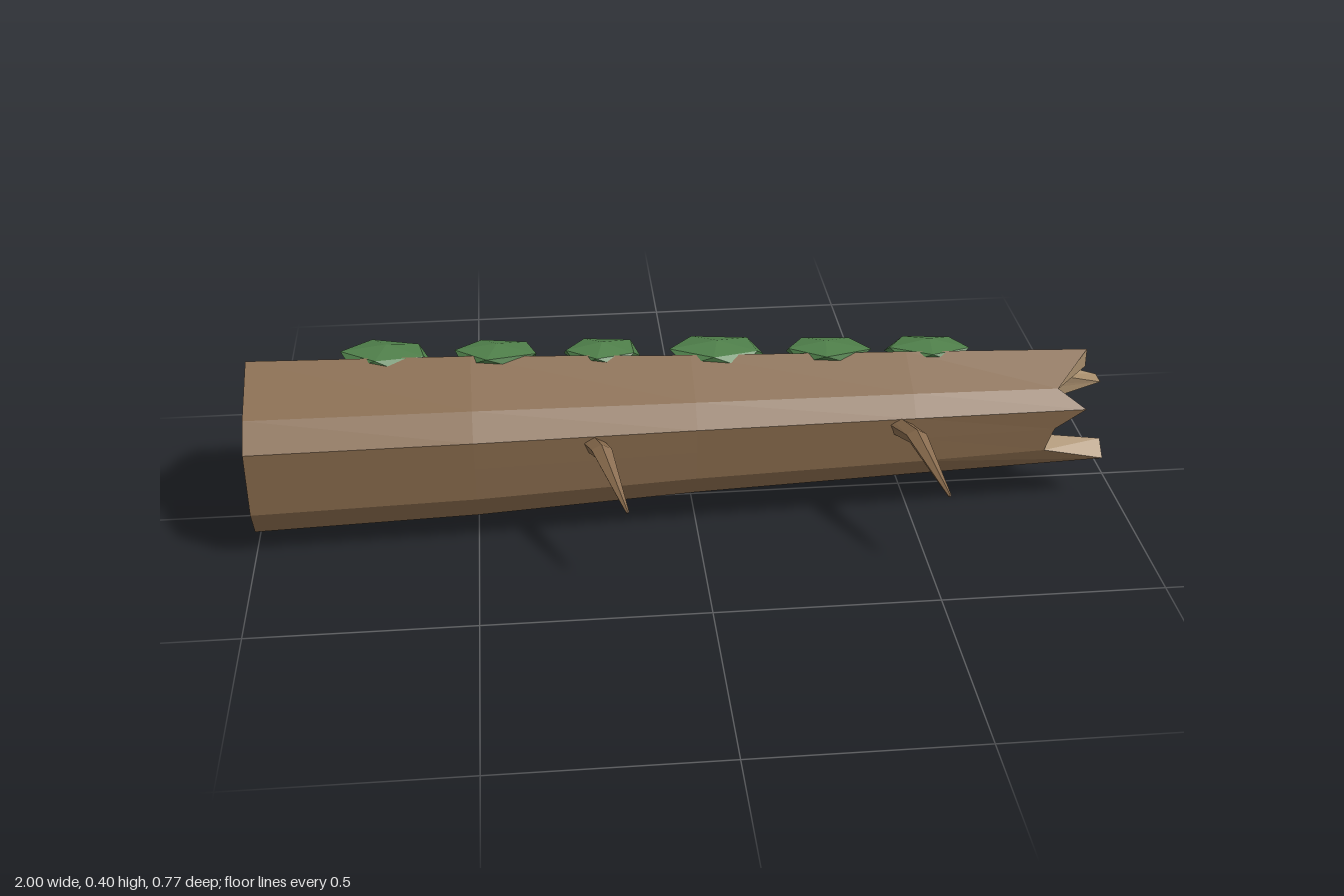
import * as THREE from 'three';

const bark = new THREE.MeshStandardMaterial({ color: 0x86694b, flatShading: true });
const wood = new THREE.MeshStandardMaterial({ color: 0xa78d6c, flatShading: true });
const leaf = new THREE.MeshStandardMaterial({ color: 0x4f7f4a, flatShading: true });

// Flat-shaded skin across a list of closed rings of points
function loft(rings, flip = false) {
  const out = [];
  const tri = (a, b, c) => (flip ? [a, c, b] : [a, b, c]).forEach(p => out.push(p.x, p.y, p.z));
  for (let i = 0; i < rings.length - 1; i++) {
    const a = rings[i], b = rings[i + 1], n = a.length;
    for (let j = 0; j < n; j++) {
      const k = (j + 1) % n;
      tri(a[j], a[k], b[k]);
      tri(a[j], b[k], b[j]);
    }
  }
  const g = new THREE.BufferGeometry();
  g.setAttribute('position', new THREE.Float32BufferAttribute(out, 3));
  g.computeVertexNormals();
  return g;
}

function add(group, name, geometry, material) {
  const mesh = new THREE.Mesh(geometry, material);
  mesh.name = name;
  group.add(mesh);
  return mesh;
}

// Trunk section at the wide end, as [z, y] around the axis
const SECTION = [[0, 0.201], [0.145, 0.128], [0.2, 0.071], [0.198, 0], [0.195, -0.084], [0.157, -0.15],
  [0, -0.201], [-0.15, -0.153], [-0.183, -0.084], [-0.19, 0], [-0.2, 0.071], [-0.14, 0.128]];
// How far each corner reaches at the splintered end
const SPLINTERS = [0.93, 0.84, 0.9, 0.83, 0.81, 0.96, 0.84, 0.87, 0.88, 1, 0.84, 0.87];
// Stations along the trunk: [x, scale, axis height]
const STATIONS = [[-1, 1, 0.204], [-0.5, 0.94, 0.205], [0, 0.82, 0.207], [0.5, 0.74, 0.208], [0.9, 0.67, 0.208]];
const WALL = 0.045;

function trunkRings(inner) {
  return STATIONS.map(([x, s, y], i) => SECTION.map(([pz, py], j) => {
    const k = inner ? s - WALL / 0.2 : s;
    return new THREE.Vector3(i === STATIONS.length - 1 ? SPLINTERS[j] : x, y + py * k, pz * k);
  }));
}

// Tapered, bent twig rooted on the trunk axis; side is +1 (front) or -1 (back)
function twig(x, side) {
  const path = [[0, 0.21, 0.03, 0.03], [0.22, 0.255, 0.024, 0.018], [0.38, 0.194, 0.004, 0.004], [0.383, 0.193, 0, 0]];
  const rings = path.map(([z, y, rx, ry]) => Array.from({ length: 5 }, (_, j) => {
    const a = Math.PI / 2 + j * Math.PI * 2 / 5;
    return new THREE.Vector3(x + z * 0.28 + rx * Math.cos(a), y + ry * Math.sin(a), side * z);
  }));
  return loft(rings, side < 0);
}

// Flattened, uneven clump
function clump(seed, rx, rz) {
  const g = new THREE.IcosahedronGeometry(1, 0);
  g.rotateZ(0.55);
  g.rotateY(seed * 1.3);
  const p = g.attributes.position;
  const v = new THREE.Vector3();
  for (let i = 0; i < p.count; i++) {
    v.fromBufferAttribute(p, i);
    const k = 1 + 0.1 * Math.sin(v.x * 5 + v.y * 7 + v.z * 9 + seed * 2);
    p.setXYZ(i, v.x * k * rx, v.y * k * 0.026, v.z * k * rz);
  }
  g.computeVertexNormals();
  return g;
}

export function createModel() {
  const log = new THREE.Group();
  log.name = 'hollowLog';

  // Hollow trunk with rims at both ends
  const outer = trunkRings(false), inner = trunkRings(true), last = STATIONS.length - 1;
  add(log, 'bark', loft(outer), bark);
  add(log, 'hollow', loft(inner, true), wood);
  add(log, 'cutRim', loft([outer[0], inner[0]], true), wood);
  add(log, 'splinteredRim', loft([outer[last], inner[last]]), wood);

  // Twigs on both sides
  [[-0.28, 1], [0.425, 1], [-0.63, -1], [0.07, -1]].forEach(([x, side], i) =>
    add(log, 'twig' + (i + 1), twig(x, side), bark));

  // Row of moss along the top: [x, y, half length]
  [[-0.69, 0.381, 0.107], [-0.44, 0.375, 0.11], [-0.2, 0.364, 0.1],
    [0.065, 0.355, 0.115], [0.32, 0.346, 0.113], [0.565, 0.337, 0.11]].forEach(([x, y, r], i) => {
    const moss = add(log, 'moss' + (i + 1), clump(i + 1, r, 0.08), leaf);
    moss.position.set(x, y, -0.047);
    moss.rotation.x = -0.1;
    moss.rotation.z = -0.03;
  });
  return log;
}
